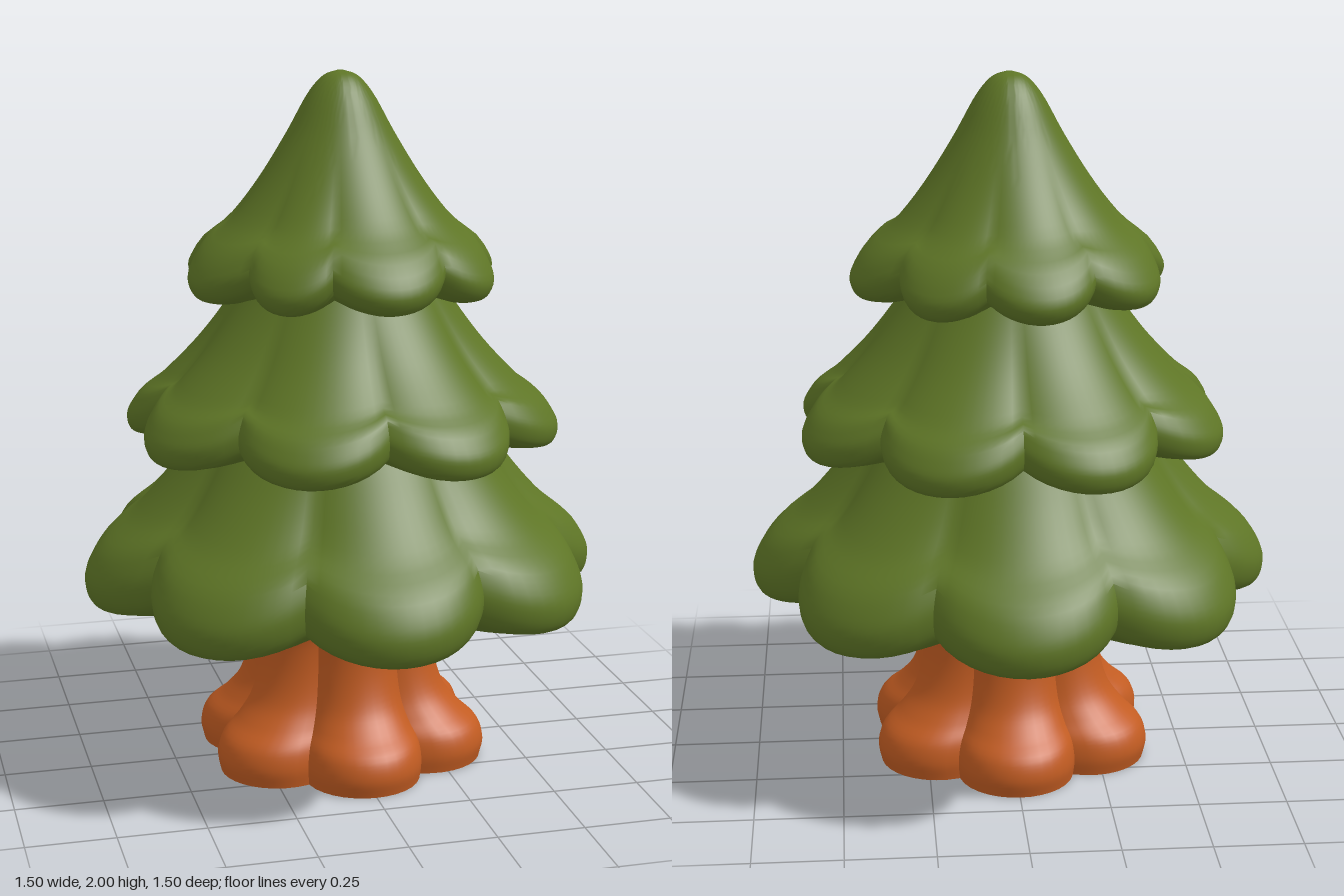
import * as THREE from 'three';
import { toCreasedNormals } from 'three/addons/utils/BufferGeometryUtils.js';

const STEPS = 14; // columns per lobe
const ROWS = 44;

// Evenly spaced valley angles in degrees
const even = (n, start) => Array.from({ length: n }, (_, i) => start + (i * 360) / n);

// Columns around a ring of circular lobes: angle, radius ratio and depth (0 peak, 1 valley)
function lobeColumns(valleys, ratio) {
  const columns = [];
  valleys.forEach((a, i) => {
    const b = i + 1 < valleys.length ? valleys[i + 1] : valleys[0] + 360;
    const half = THREE.MathUtils.degToRad((b - a) / 2);
    const mid = THREE.MathUtils.degToRad((a + b) / 2);
    const c = (1 - ratio * ratio) / (2 * (1 - ratio * Math.cos(half)));
    for (let s = 0; s < STEPS; s++) {
      const phi = half * ((2 * s) / STEPS - 1);
      const root = Math.max(0, (1 - c) ** 2 - (c * Math.sin(phi)) ** 2);
      const r = c * Math.cos(phi) + Math.sqrt(root);
      columns.push({ angle: mid + phi, r, depth: (1 - r) / (1 - ratio) });
    }
  });
  return columns;
}

// Revolved body with lobes; profile rows are [radius, y, lobe strength], from underside to top
function lobedGeometry(profile, valleys, ratio, lift) {
  const curve = new THREE.CatmullRomCurve3(profile.map((p) => new THREE.Vector3(...p)));
  const rows = curve.getPoints(ROWS);
  rows.unshift(new THREE.Vector3(0, profile[0][1], 0));
  rows.push(new THREE.Vector3(0, profile[profile.length - 1][1], 0));
  const columns = lobeColumns(valleys, ratio);
  const n = columns.length;
  const position = [];
  const index = [];
  rows.forEach((p, j) => {
    const k = THREE.MathUtils.clamp(p.z, 0, 1);
    columns.forEach(({ angle, r, depth }, i) => {
      const radius = Math.max(0, p.x) * (1 + k * (r - 1));
      position.push(radius * Math.cos(angle), p.y + lift * k ** 3 * depth, radius * Math.sin(angle));
      if (j === rows.length - 1) return;
      const a = j * n + i;
      const b = j * n + ((i + 1) % n);
      if (j > 0) index.push(a, a + n, b);
      if (j < rows.length - 2) index.push(b, a + n, b + n);
    });
  });
  const geometry = new THREE.BufferGeometry();
  geometry.setAttribute('position', new THREE.Float32BufferAttribute(position, 3));
  geometry.setIndex(index);
  return toCreasedNormals(geometry, 0.7);
}

export function createModel() {
  const foliage = new THREE.MeshStandardMaterial({ color: 0x5e7526 });
  foliage.name = 'foliage green';
  const bark = new THREE.MeshStandardMaterial({ color: 0xc25c22 });
  bark.name = 'bark orange';

  const parts = [
    {
      // six root lobes, flaring again under the branches
      name: 'trunk', material: bark, valleys: even(6, 0), ratio: 0.78, lift: 0,
      profile: [
        [0.42, 0, 1], [0.43, 0.05, 1], [0.415, 0.1, 1], [0.36, 0.15, 0.95], [0.31, 0.21, 0.85],
        [0.28, 0.3, 0.75], [0.272, 0.4, 0.65], [0.295, 0.45, 0.5], [0.36, 0.5, 0.4], [0.38, 0.53, 0.3],
      ],
    },
    {
      name: 'lowerBranches', material: foliage, valleys: even(8, 22.5), ratio: 0.865, lift: 0.06,
      profile: [
        [0.25, 0.52, 0], [0.48, 0.5, 0.5], [0.65, 0.482, 0.95], [0.732, 0.505, 1], [0.75, 0.57, 1],
        [0.715, 0.65, 1], [0.6, 0.755, 0.8], [0.5, 0.87, 0.5], [0.42, 0.98, 0.3], [0.32, 1.12, 0],
      ],
    },
    {
      name: 'middleBranches', material: foliage, valleys: even(8, 0), ratio: 0.855, lift: 0.055,
      profile: [
        [0.3, 1.02, 0], [0.45, 0.975, 0.6], [0.56, 0.948, 1], [0.612, 0.96, 1], [0.625, 1.005, 1],
        [0.6, 1.055, 1], [0.515, 1.13, 0.7], [0.405, 1.245, 0.4], [0.305, 1.38, 0.15], [0.22, 1.52, 0],
      ],
    },
    {
      // uneven lobes around the crown
      name: 'crown', material: foliage, ratio: 0.885, lift: 0.05,
      valleys: [19, 59, 107, 142, 191, 239, 283, 322],
      profile: [
        [0.22, 1.44, 0], [0.33, 1.4, 0.6], [0.4, 1.377, 1], [0.438, 1.39, 1], [0.455, 1.43, 1],
        [0.43, 1.485, 1], [0.315, 1.595, 0.5], [0.222, 1.715, 0.15], [0.15, 1.83, 0],
        [0.085, 1.945, 0], [0.045, 1.987, 0], [0.008, 2, 0],
      ],
    },
  ];

  const tree = new THREE.Group();
  tree.name = 'tree';
  for (const { name, material, profile, valleys, ratio, lift } of parts) {
    const mesh = new THREE.Mesh(lobedGeometry(profile, valleys, ratio, lift), material);
    mesh.name = name;
    tree.add(mesh);
  }
  return tree;
}
